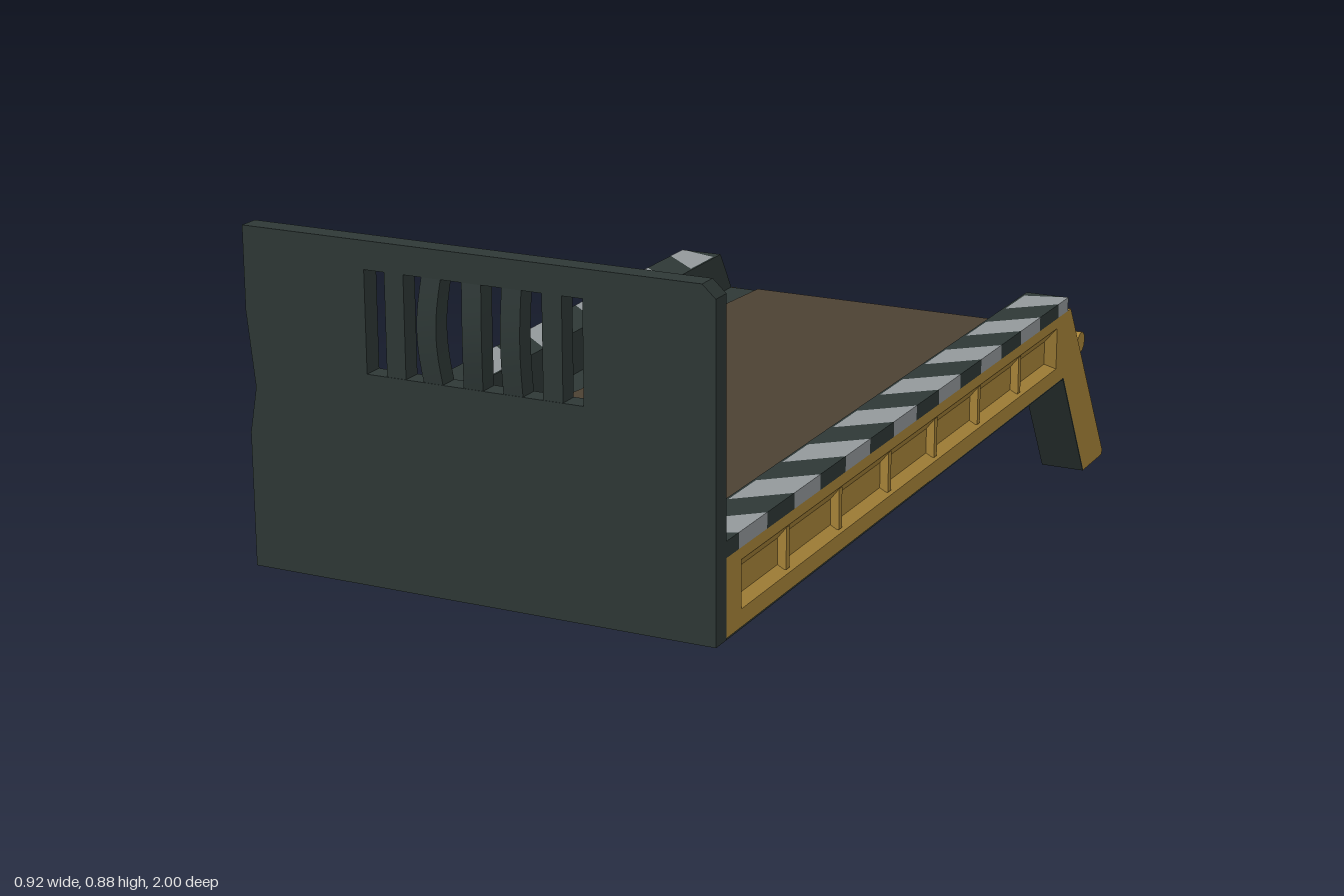
import * as THREE from 'three';

const mat = (name, color, side = THREE.FrontSide) => {
  const m = new THREE.MeshStandardMaterial({ color, side });
  m.name = name;
  return m;
};

export function createModel() {
  const dark = mat('dark green steel', 0x2e3836);
  const yellow = mat('worn yellow', 0xa98539, THREE.DoubleSide);
  const grey = mat('stripe grey', 0x93989b);
  const rust = mat('rust brown', 0x4c4133, THREE.DoubleSide);
  const iron = mat('bolt iron', 0x4b4c4e);
  iron.flatShading = true;

  const root = new THREE.Group();
  root.name = 'cargoBed';
  const add = (name, geo, material, parent = root) => {
    const m = new THREE.Mesh(geo, material);
    m.name = name;
    parent.add(m);
    return m;
  };
  const box = (w, h, d, x, y, z) => new THREE.BoxGeometry(w, h, d).translate(x, y, z);
  const shapeOf = (pts) => new THREE.Shape(pts.map(([a, b]) => new THREE.Vector2(a, b)));
  const extrude = (shape, depth) => new THREE.ExtrudeGeometry(shape, { depth, bevelEnabled: false });
  const rect = (a0, b0, a1, b1) => [[a0, b0], [a1, b0], [a1, b1], [a0, b1]];
  // slab with a (z, y) outline between two x values
  const slab = (pts, xa, xb, hole) => {
    const shape = shapeOf(pts);
    if (hole) shape.holes.push(shapeOf(hole));
    return extrude(shape, Math.abs(xb - xa)).rotateY(-Math.PI / 2).translate(Math.max(xa, xb), 0, 0);
  };
  // plate with an (x, z) outline below a given top height
  const plate = (pts, top, depth) =>
    extrude(shapeOf(pts), depth).rotateX(Math.PI / 2).translate(0, top, 0);

  // Front board with a chipped corner, dented edge and a barred window
  const board = shapeOf([[-0.46, 0.252], [0.46, 0.252], [0.46, 0.862], [0.435, 0.885],
    [-0.46, 0.885], [-0.46, 0.73], [-0.445, 0.59], [-0.46, 0.505]]);
  board.holes.push(shapeOf(rect(-0.213, 0.645, 0.213, 0.833)));
  add('frontBoard', extrude(board, 0.04).translate(0, 0, 0.95), dark);

  // Window bars: x, sideways bend, forward bend
  const bars = [[-0.154, 0, 0], [-0.08, -0.007, 0.008], [-0.001, 0.006, 0.012],
    [0.077, 0, 0.008], [0.154, 0, 0]];
  bars.forEach(([x, dx, dz], i) => {
    const g = new THREE.BoxGeometry(0.038, 0.19, 0.038, 1, 8, 1);
    const p = g.attributes.position;
    for (let k = 0; k < p.count; k++) {
      const bow = Math.cos((p.getY(k) / 0.19) * Math.PI);
      p.setX(k, p.getX(k) + dx * bow);
      p.setZ(k, p.getZ(k) + dz * bow);
    }
    g.computeVertexNormals();
    add('windowBar', g.translate(x, 0.739, 0.97),
      i === 2 ? [dark, dark, dark, dark, dark, rust] : dark);
  });

  // Floor with a sloped rear lip, and a worn patch lying on it
  add('floor', slab([[0.95, 0.255], [0.95, 0.34], [-0.79, 0.34], [-0.84, 0.255]], -0.37, 0.37), dark);
  add('underside', box(0.918, 0.005, 1.67, 0, 0.2535, 0.115), dark);
  add('floorRust', plate([[-0.3, -0.79], [-0.31, -0.66], [-0.3, 0.05], [-0.335, 0.29],
    [-0.255, 0.45], [-0.21, 0.76], [0, 0.84], [0.23, 0.79], [0.285, 0.6], [0.32, 0.08],
    [0.285, -0.24], [0.32, -0.5], [0.315, -0.79]], 0.343, 0.003), rust);
  add('lipRust', slab([[-0.788, 0.343], [-0.793, 0.343], [-0.834, 0.274], [-0.828, 0.274]], -0.3, 0.31), rust);

  // Recess bevel: four sloped faces between an outer and an inner rectangle
  const hole = rect(-0.67, 0.288, 0.89, 0.378);
  const inner = rect(-0.655, 0.3, 0.875, 0.35);
  const bevel = (xo, xi) => {
    const v = [];
    for (let i = 0; i < 4; i++) {
      const j = (i + 1) % 4;
      const at = (x, [z, y]) => [x, y, z];
      const [a, b, c, d] = [at(xo, hole[i]), at(xo, hole[j]), at(xi, inner[j]), at(xi, inner[i])];
      // keep the faces turned outward on either side
      v.push(...(xo > 0 ? [a, d, c, a, c, b] : [a, c, d, a, b, c]).flat());
    }
    const g = new THREE.BufferGeometry();
    g.setAttribute('position', new THREE.Float32BufferAttribute(v, 3));
    g.computeVertexNormals();
    return g;
  };

  const foot = [[-0.99, 0], [-0.87, 0], [-0.72, 0.255]];
  const legSide = [[-0.72, 0.4], [-0.754, 0.4], [-0.995, 0.01], ...foot];
  const legMiddle = [[-0.72, 0.4], [-0.765, 0.33], [-0.803, 0.32], [-0.995, 0.01], ...foot];

  for (const s of [1, -1]) {
    const side = new THREE.Group();
    side.name = s > 0 ? 'leftSide' : 'rightSide';
    root.add(side);

    // Rail: dark core and lining, yellow outer frame running into the leg
    add('railCore', slab(rect(-0.72, 0.255, 0.95, 0.4), s * 0.37, s * 0.434), dark, side);
    add('innerLining', slab([[0.95, 0.255], [0.95, 0.43], [-0.735, 0.43], ...legSide.slice(1)],
      s * 0.365, s * 0.37), dark, side);
    add('railFrame', slab([[0.95, 0.255], [0.95, 0.4], ...legSide.slice(1)],
      s * 0.435, s * 0.46, hole), yellow, side);
    add('recessBevel', bevel(s * 0.46, s * 0.438), yellow, side);
    add('recessPanel', slab(rect(-0.67, 0.288, 0.89, 0.378), s * 0.434, s * 0.438), yellow, side);
    for (let i = 0; i < 6; i++) {
      add('recessRib', box(0.018, 0.08, 0.014, s * 0.446, 0.333, 0.69 - i * 0.23), yellow, side);
    }

    // Diagonal hazard stripes along the rail top
    const step = 0.1125;
    const clamp = (z) => Math.min(0.95, Math.max(-0.735, z));
    for (let i = -1; i < 16; i++) {
      const z1 = 0.9 - i * step, z0 = z1 - step;
      if (clamp(z1 + 0.08) - clamp(z0) < 0.001) continue;
      const pts = [[s * 0.46, clamp(z0)], [s * 0.46, clamp(z1)],
        [s * 0.37, clamp(z1 + 0.08)], [s * 0.37, clamp(z0 + 0.08)]];
      const unique = pts.filter((p, k) => !pts.slice(0, k).some((q) => q[0] === p[0] && q[1] === p[1]));
      if (unique.length < 3) continue;
      add('hazardStripe', plate(unique, 0.43, 0.03), i % 2 === 0 ? grey : dark, side);
    }

    // Splayed rear leg, channelled at the top, with a dark front face
    add('legMiddle', slab(legMiddle, s * 0.39, s * 0.435), yellow, side);
    add('legInner', slab(legSide, s * 0.37, s * 0.39), yellow, side);
    add('legFront', slab([[-0.72, 0.255], [-0.87, 0], [-0.866, 0], [-0.715, 0.255]],
      s * 0.365, s * 0.46), dark, side);

    // Domed bolts on the back of the leg
    for (const [y, z] of [[0.19, -0.883], [0.12, -0.926]]) {
      const profile = [[0, -0.03], [0.024, -0.03], [0.031, 0], [0.026, 0.022], [0.012, 0.034], [0, 0.034]];
      const bolt = add('legBolt', new THREE.LatheGeometry(
        profile.map(([r, h]) => new THREE.Vector2(r, h)), 8), iron, side);
      bolt.position.set(s * 0.41, y, z);
      bolt.rotation.x = -1.02;
    }
  }

  // Slightly bent crossbar between the legs
  const path = new THREE.CatmullRomCurve3([[-0.45, 0], [-0.22, 0.002], [0.05, 0.008], [0.25, 0.002], [0.45, 0]]
    .map(([x, d]) => new THREE.Vector3(x, 0.3 - d, -0.847 + d)));
  add('crossbar', new THREE.TubeGeometry(path, 16, 0.023, 12), yellow);
  for (const s of [1, -1]) {
    add('crossbarEnd', new THREE.CylinderGeometry(0.023, 0.023, 0.006, 12)
      .rotateZ(Math.PI / 2).translate(s * 0.45, 0.3, -0.847), yellow);
  }

  // Worn spot on the right rail
  add('railRust', new THREE.CylinderGeometry(1, 1, 0.004, 10).rotateZ(Math.PI / 2)
    .scale(1, 0.013, 0.07).translate(-0.461, 0.288, -0.07), rust);

  return root;
}
